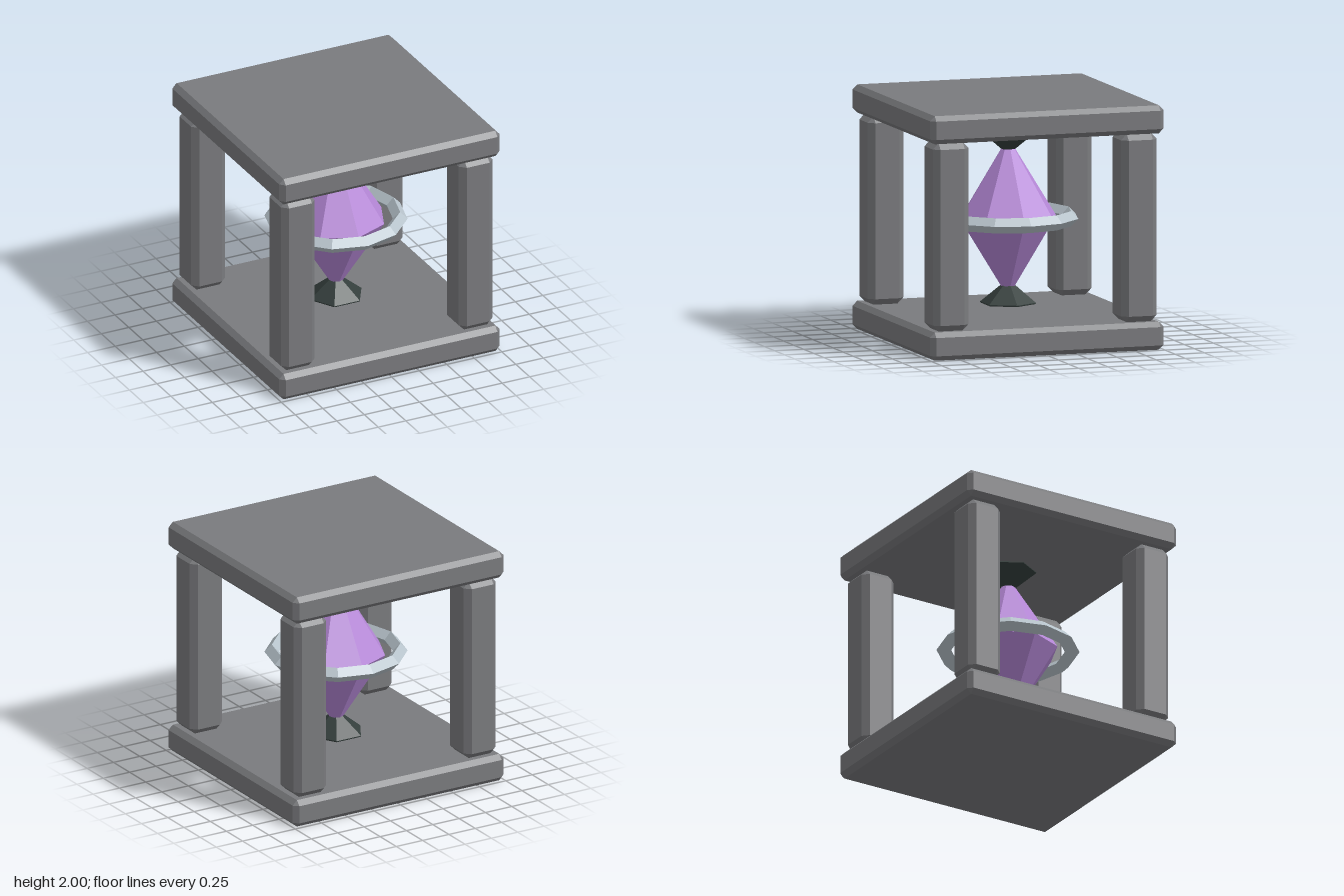
import * as THREE from 'three';
import { ConvexGeometry } from 'three/addons/geometries/ConvexGeometry.js';

const paint = (name, color) => {
  const m = new THREE.MeshStandardMaterial({ color });
  m.name = name;
  return m;
};

// Box with every edge cut at 45 degrees
function chamferedBox(w, h, d, c) {
  const points = [];
  for (const x of [-1, 1]) for (const y of [-1, 1]) for (const z of [-1, 1]) {
    const corner = new THREE.Vector3(x * w / 2, y * h / 2, z * d / 2);
    points.push(
      corner.clone().sub(new THREE.Vector3(0, y * c, z * c)),
      corner.clone().sub(new THREE.Vector3(x * c, 0, z * c)),
      corner.clone().sub(new THREE.Vector3(x * c, y * c, 0)),
    );
  }
  return new ConvexGeometry(points);
}

// Faceted turned shape, profile listed from bottom to top
function faceted(profile, sides) {
  const g = new THREE.LatheGeometry(profile.map(([r, y]) => new THREE.Vector2(r, y)), sides).toNonIndexed();
  g.computeVertexNormals();
  return g;
}

export function createModel() {
  const model = new THREE.Group();
  model.name = 'crystalCage';
  const stone = paint('stone grey', 0x7a7b7e);
  const purple = paint('crystal purple', 0xb688d8);
  const steel = paint('pale steel', 0xb8c4cc);
  const dark = paint('dark metal', 0x343e3c);

  const add = (name, geometry, material, x = 0, y = 0, z = 0) => {
    const mesh = new THREE.Mesh(geometry, material);
    mesh.name = name;
    mesh.position.set(x, y, z);
    model.add(mesh);
    return mesh;
  };

  // Floor and roof slabs
  const slab = chamferedBox(2, 0.23, 2, 0.04);
  add('floorSlab', slab, stone, 0, 0.115, 0);
  add('roofSlab', slab, stone, 0, 1.885, 0);

  // Four corner posts
  const post = chamferedBox(0.306, 1.54, 0.306, 0.05);
  for (const x of [-1, 1]) for (const z of [-1, 1]) {
    add(`${z > 0 ? 'front' : 'back'}${x > 0 ? 'Left' : 'Right'}Post`, post, stone, x * 0.806, 1, z * 0.806);
  }

  // Floating double-cone crystal
  add('crystal', faceted([[0, -0.56], [0.06, -0.56], [0.41, 0], [0.06, 0.56], [0, 0.56]], 8), purple, 0, 1, 0);

  // Ring with a diamond cross-section
  add('ring', faceted([[0.52, -0.062], [0.58, 0], [0.52, 0.062], [0.46, 0], [0.52, -0.062]], 12), steel, 0, 1, 0);

  // Hexagonal flared caps at both tips
  const cap = faceted([[0, 0], [0.06, 0], [0.23, 0.14], [0.23, 0.147], [0.223, 0.152], [0, 0.152]], 6);
  add('topCap', cap, dark, 0, 1.56, 0).rotation.y = Math.PI / 2;
  add('bottomCap', cap, dark, 0, 0.445, 0).rotation.set(Math.PI, Math.PI / 2, 0);

  return model;
}
